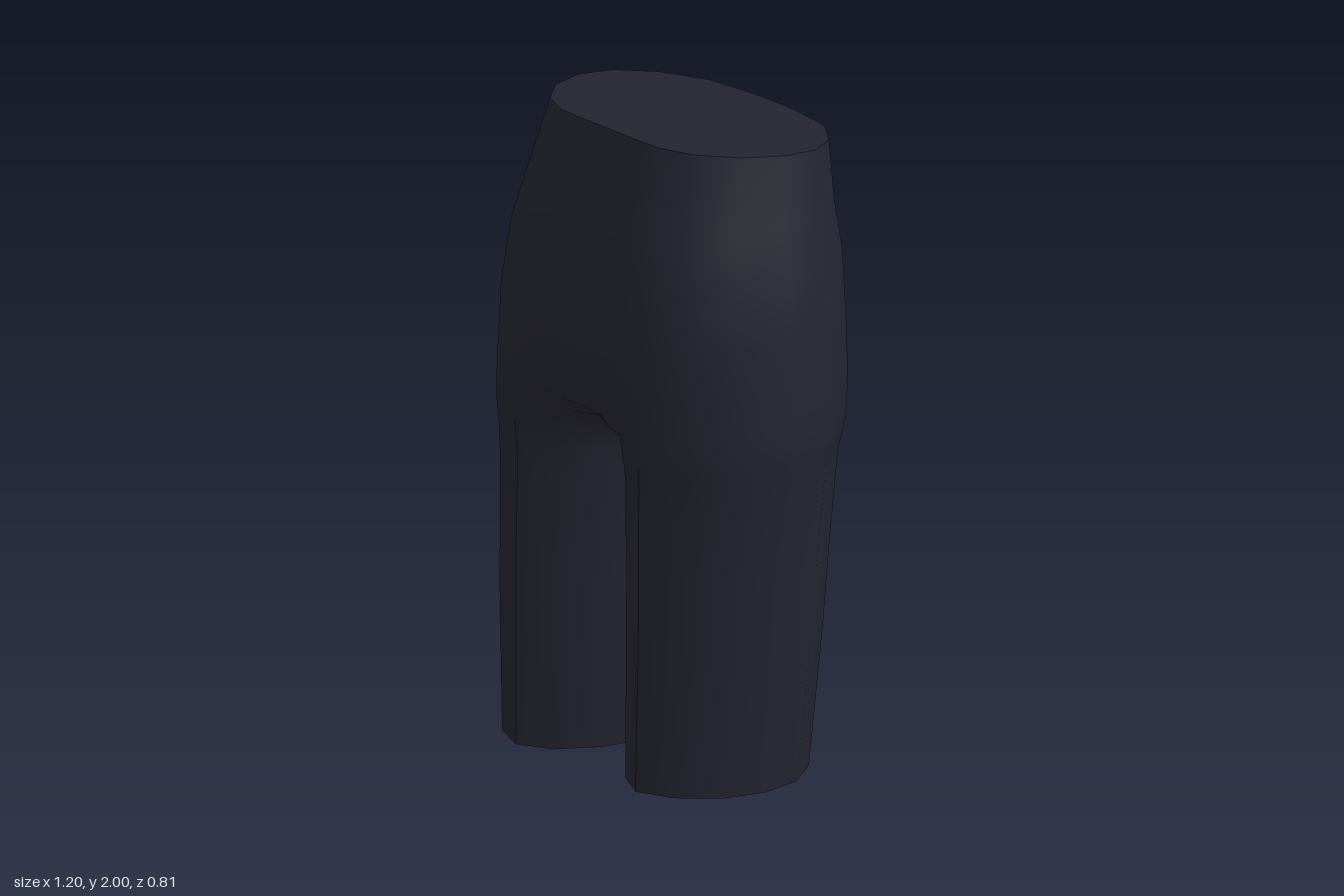
import * as THREE from 'three';
import { toCreasedNormals } from 'three/addons/utils/BufferGeometryUtils.js';

// Half outline, front centre -> outer side -> back centre, as [x, z] fractions
const OUTER = [[0.7, 0.85], [0.9, 0.53], [1, 0.13], [0.98, -0.27], [0.83, -0.62]];
const HIP = [[0, 1], [0.16, 1], [0.32, 1], [0.47, 0.99], ...OUTER,
  [0.56, -0.9], [0.37, -0.95], [0.18, -0.99], [0, -1]];
// Same points wrapped round one leg: both ends meet on the inner thigh
const LEG = [[0, 0.05], [0.07, 0.45], [0.24, 0.83], [0.46, 1], ...OUTER,
  [0.56, -0.97], [0.25, -0.78], [0.07, -0.4], [0, 0.05]];

// Heights: y, half width, front z, back z, leg blend, inner gap
const LEVELS = [
  [0, 0.53, 0.405, -0.25, 1, 0.042],
  [0.45, 0.565, 0.4, -0.29, 1, 0.024],
  [0.68, 0.572, 0.398, -0.312, 1, 0.018],
  [0.88, 0.585, 0.396, -0.332, 1, 0],
  [0.95, 0.59, 0.396, -0.337, 0.93, 0],
  [1.0, 0.593, 0.4, -0.342, 0.8, 0],
  [1.05, 0.597, 0.405, -0.36, 0.56, 0],
  [1.1, 0.6, 0.405, -0.376, 0.25, 0],
  [1.15, 0.597, 0.405, -0.385, 0.06, 0],
  [1.25, 0.59, 0.405, -0.395, 0, 0],
  [1.42, 0.573, 0.405, -0.402, 0, 0],
  [1.62, 0.548, 0.38, -0.4, 0, 0],
  [1.76, 0.505, 0.348, -0.394, 0, 0],
  [1.965, 0.46, 0.27, -0.39, 0, 0],
];

// One half ring; the waist ring slopes down toward the back
function ring([y, w, front, back, t, gap], isWaist) {
  const mid = (front + back) / 2, h = (front - back) / 2;
  return HIP.map(([hx, hz], i) => {
    const x = gap + THREE.MathUtils.lerp(hx, LEG[i][0], t) * (w - gap);
    const z = mid + THREE.MathUtils.lerp(hz, LEG[i][1], t) * h;
    const s = (front - z) / (front - back);
    return [x, isWaist ? 2 - 0.055 * s - 0.025 * s * s : y, z];
  });
}

const mirror = ([x, y, z]) => [-x, y, z];

function toGeometry(triangles) {
  const g = new THREE.BufferGeometry();
  g.setAttribute('position', new THREE.Float32BufferAttribute(triangles.flat(2), 3));
  g.computeVertexNormals();
  return g;
}

// Triangle fan facing up, or down when flipped
function fan(loop, centre, down) {
  return loop.map((p, i) => {
    const q = loop[(i + 1) % loop.length];
    return down ? [centre, q, p] : [centre, p, q];
  });
}

export function createModel() {
  const group = new THREE.Group();
  const fabric = new THREE.MeshStandardMaterial({ color: 0x24242f });
  fabric.name = 'dark navy fabric';
  fabric.side = THREE.DoubleSide;
  const add = (name, geometry) => {
    const mesh = new THREE.Mesh(geometry, fabric);
    mesh.name = name;
    group.add(mesh);
  };

  // Hips and both legs as one mirrored skin
  const rings = LEVELS.map((level, i) => ring(level, i === LEVELS.length - 1));
  const skin = [];
  for (let r = 0; r < rings.length - 1; r++) {
    for (let i = 0; i < HIP.length - 1; i++) {
      const a = rings[r][i], b = rings[r][i + 1];
      const c = rings[r + 1][i + 1], d = rings[r + 1][i];
      for (const [p, q, s] of [[a, b, c], [a, c, d]]) {
        skin.push([p, q, s], [mirror(p), mirror(s), mirror(q)]);
      }
    }
  }
  add('shortsBody', toCreasedNormals(toGeometry(skin), 0.75));

  // Closed waist opening
  const half = rings[rings.length - 1];
  const waist = [...half, ...half.slice(1, -1).reverse().map(mirror)];
  add('waistCap', toGeometry(fan(waist, [0, 1.966, -0.06], false)));

  // Closed leg openings
  const hem = rings[0].slice(0, -1);
  add('leftHemCap', toGeometry(fan(hem, [0.28, 0, 0.07], true)));
  add('rightHemCap', toGeometry(fan(hem.map(mirror), [-0.28, 0, 0.07], false)));

  return group;
}
